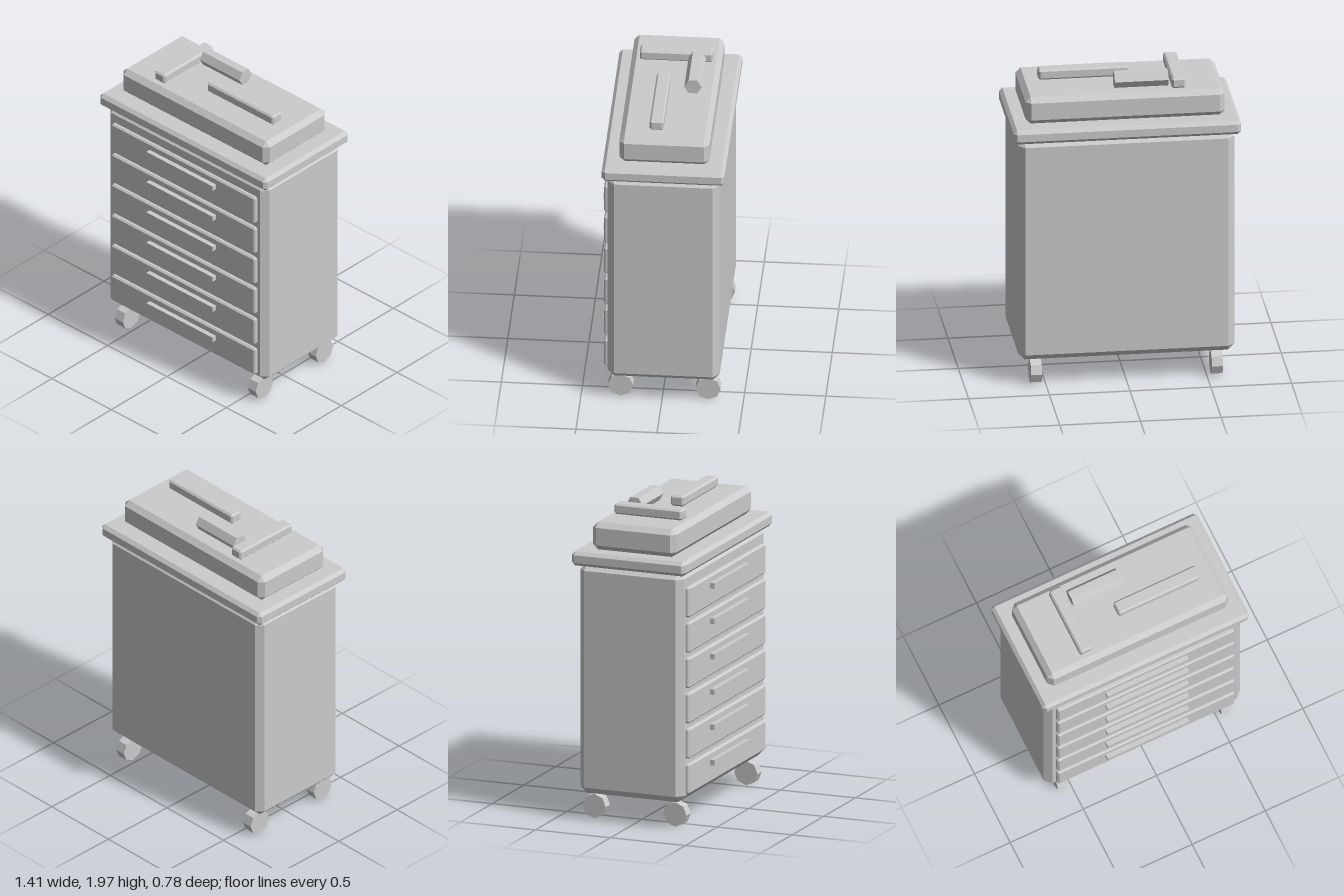
import * as THREE from 'three';
import { ConvexGeometry } from 'three/addons/geometries/ConvexGeometry.js';

const grey = new THREE.MeshStandardMaterial({ color: 0xcccccc, flatShading: true });

// Box with every edge cut by a single flat chamfer c
function chamferBox(w, h, d, c) {
  const points = [];
  for (const sx of [-1, 1]) for (const sy of [-1, 1]) for (const sz of [-1, 1]) {
    const x = w / 2, y = h / 2, z = d / 2;
    points.push(
      new THREE.Vector3(sx * x, sy * (y - c), sz * (z - c)),
      new THREE.Vector3(sx * (x - c), sy * y, sz * (z - c)),
      new THREE.Vector3(sx * (x - c), sy * (y - c), sz * z)
    );
  }
  return new ConvexGeometry(points);
}

// Low-poly cylinder lying along x
function axle(radius, length, sides) {
  return new THREE.CylinderGeometry(radius, radius, length, sides).rotateZ(Math.PI / 2);
}

export function createModel() {
  const model = new THREE.Group();
  model.name = 'toolCabinet';

  function add(name, geometry, x, y, z, parent = model) {
    const mesh = new THREE.Mesh(geometry, grey);
    mesh.name = name;
    mesh.position.set(x, y, z);
    parent.add(mesh);
    return mesh;
  }

  // Cabinet, worktop and the chest on top
  add('cabinetBody', chamferBox(1.34, 1.456, 0.69, 0.041), 0, 0.923, -0.011);
  add('worktop', chamferBox(1.408, 0.09, 0.757, 0.021), 0, 1.688, -0.012);
  add('topChest', chamferBox(1.234, 0.175, 0.556, 0.032), 0, 1.82, -0.012);

  // Six drawers, each with a slim pull
  const drawerGeometry = chamferBox(1.21, 0.19, 0.045, 0.01);
  const handleGeometry = new THREE.BoxGeometry(0.557, 0.035, 0.035);
  for (let i = 0; i < 6; i++) {
    const drawer = new THREE.Group();
    drawer.name = 'drawer' + (i + 1);
    drawer.position.y = 0.338 + i * 0.224;
    add('drawerFront', drawerGeometry, 0, 0, 0.336, drawer);
    add('drawerHandle', handleGeometry, 0, 0.033, 0.3715, drawer);
    model.add(drawer);
  }

  // Four octagonal casters
  const wheelGeometry = axle(0.078, 0.068, 8);
  for (const [side, x] of [['left', 0.56], ['right', -0.56]]) {
    add(side + 'FrontCaster', wheelGeometry, x, 0.105, 0.258);
    add(side + 'BackCaster', wheelGeometry, x, 0.105, -0.281);
  }

  // Tools lying on the chest
  add('crosswiseBar', chamferBox(0.086, 0.066, 0.449, 0.011), -0.336, 1.943, -0.014);
  add('lengthwiseBar', chamferBox(0.558, 0.066, 0.086, 0.011), 0.224, 1.943, 0.043);
  add('hexagonalRod', axle(0.054, 0.333, 6), -0.111, 1.953, -0.146);

  return model;
}
